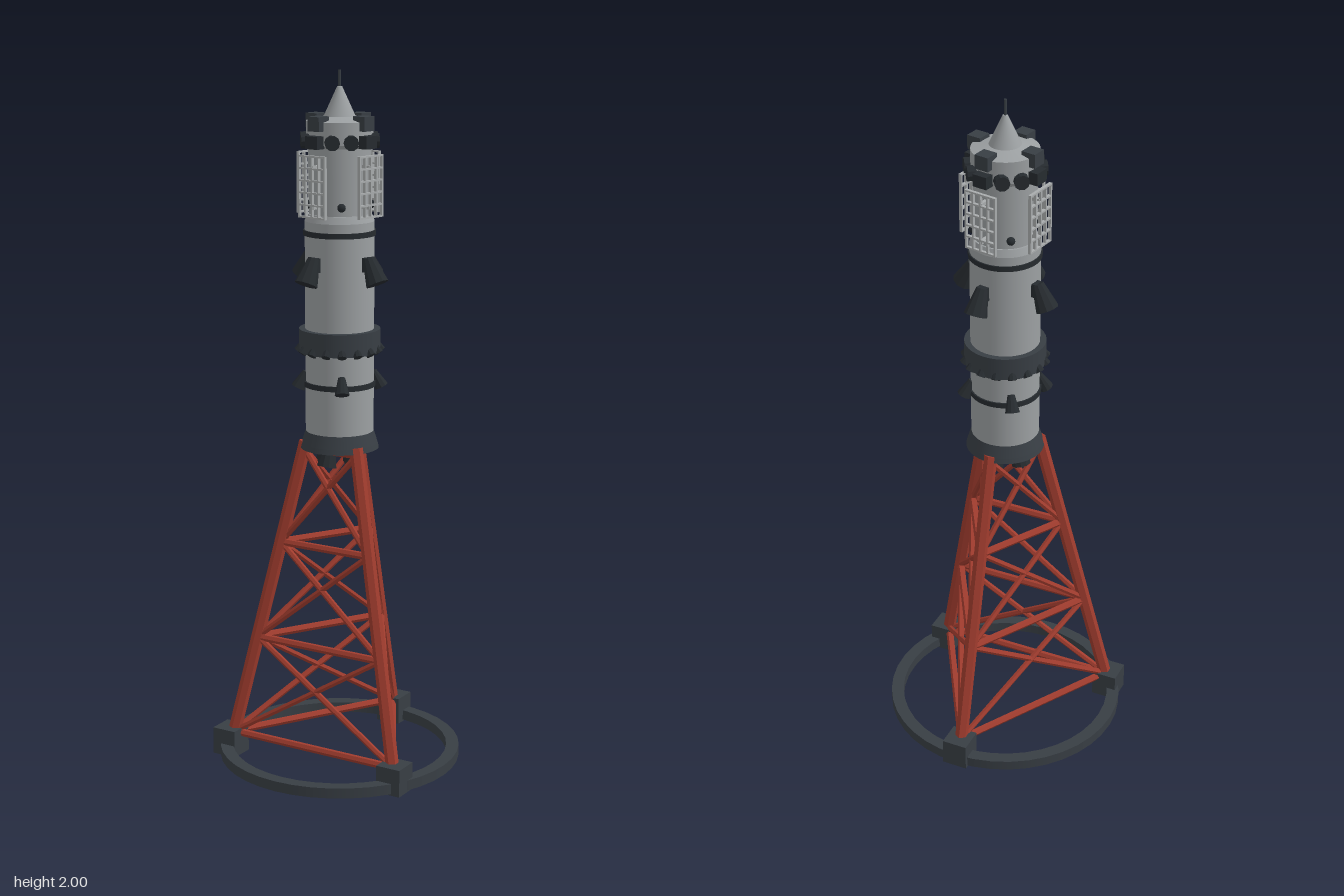
import * as THREE from 'three';

const mat = (name, color, extra = {}) => Object.assign(new THREE.MeshStandardMaterial({ color, ...extra }), { name });

export function createModel() {
  const red = mat('oxide red', 0xa03c2e);
  const slate = mat('slate', 0x383e44);
  const black = mat('charcoal', 0x262b2f);
  const grey = mat('hull grey', 0x9ca0a2);
  const pale = mat('grid grey', 0xa9acad);
  // faceted parts get flat normals in their geometry
  const flat = (g) => { const n = g.toNonIndexed(); n.computeVertexNormals(); return n; };

  const model = new THREE.Group();
  model.name = 'towerBeacon';
  const V = (x, y, z) => new THREE.Vector3(x, y, z);

  const add = (name, geo, material, parent = model, x = 0, y = 0, z = 0) => {
    const m = new THREE.Mesh(geo, material);
    m.name = name;
    m.position.set(x, y, z);
    parent.add(m);
    return m;
  };
  const group = (name, parent = model) => {
    const g = new THREE.Group();
    g.name = name;
    parent.add(g);
    return g;
  };
  // straight tube from a (radius ra) to b (radius rb)
  const beam = (name, a, b, ra, rb, sides, material, parent) => {
    const d = b.clone().sub(a);
    const m = add(name, flat(new THREE.CylinderGeometry(rb, ra, d.length(), sides)), material, parent);
    m.position.copy(a).add(b).multiplyScalar(0.5);
    m.quaternion.setFromUnitVectors(V(0, 1, 0), d.normalize());
    return m;
  };
  // groups spread around the axis, each with local +x pointing outward
  const around = (name, n, start, build) => {
    for (let i = 0; i < n; i++) {
      const g = group(name);
      g.rotation.y = -(start + (i / n) * Math.PI * 2);
      build(g);
    }
  };
  const lathe = (name, pts, material) => {
    // separate bands keep the edges sharp
    const g = group(name);
    for (let i = 1; i < pts.length; i++) {
      const seg = [pts[i - 1], pts[i]].map(([r, y]) => new THREE.Vector2(r, y));
      add(name + 'Band', new THREE.LatheGeometry(seg, 40), material, g);
    }
  };

  // base ring and footings
  lathe('baseRing', [[0.315, 0.005], [0.352, 0.005], [0.352, 0.035], [0.315, 0.035], [0.315, 0.005]], slate);
  const corners = [Math.PI / 6, Math.PI * 5 / 6, -Math.PI / 2];
  for (const a of corners)
    add('footing', new THREE.BoxGeometry(0.075, 0.08, 0.075), slate, model, 0.322 * Math.cos(a), 0.04, 0.322 * Math.sin(a));

  // three-legged lattice tower
  const tower = group('latticeTower');
  const legAt = (a, y) => {
    const r = 0.315 - (y - 0.05) / 0.9 * 0.218;
    return V(r * Math.cos(a), y, r * Math.sin(a));
  };
  const levels = [0.065, 0.36, 0.65, 0.93];
  corners.forEach((a, i) => {
    const b = corners[(i + 1) % 3];
    beam('leg', legAt(a, 0.05), legAt(a, 0.95), 0.019, 0.019, 6, red, tower);
    levels.forEach((y, k) => {
      beam('crossRail', legAt(a, y), legAt(b, y), 0.011, 0.011, 6, red, tower);
      if (k === 3) return;
      beam('brace', legAt(a, y), legAt(b, levels[k + 1]), 0.009, 0.009, 6, red, tower);
      beam('brace', legAt(b, y), legAt(a, levels[k + 1]), 0.009, 0.009, 6, red, tower);
    });
  });

  // lower skirt and nozzles under it
  lathe('skirt', [[0, 0.935], [0.112, 0.935], [0.108, 0.95], [0.097, 0.985], [0, 0.985]], slate);
  const turn = 0.18;
  around('lowerNozzle', 4, turn, (g) =>
    beam('lowerNozzleBell', V(0.04, 0.95, 0), V(0.056, 0.885, 0), 0.016, 0.028, 10, black, g));

  // main hull
  lathe('hull', [[0, 0.98], [0.097, 0.98], [0.098, 1.585], [0.09, 1.605], [0, 1.605]], grey);
  const band = (name, y0, y1, r, m) => lathe(name, [[0.09, y0], [r, y0], [r, y1], [0.09, y1]], m);
  band('lowerBand', 1.115, 1.13, 0.102, black);
  band('collar', 1.215, 1.28, 0.115, slate);
  band('upperBand', 1.545, 1.56, 0.102, black);
  around('collarStud', 16, turn, (g) =>
    beam('collarStudCap', V(0.1, 1.24, 0), V(0.118, 1.215, 0), 0.009, 0.013, 8, black, g));

  // large and small side thrusters
  around('sideThruster', 4, turn, (g) => {
    beam('thrusterBell', V(0.107, 1.488, 0), V(0.14, 1.42, 0), 0.017, 0.033, 10, black, g);
    add('thrusterMount', new THREE.BoxGeometry(0.03, 0.04, 0.03), black, g, 0.1, 1.47, 0);
  });
  around('smallThruster', 4, turn + Math.PI / 4, (g) =>
    beam('smallThrusterBell', V(0.095, 1.155, 0), V(0.118, 1.11, 0), 0.01, 0.021, 10, black, g));

  // upper core with nose cone and antenna
  lathe('upperCore', [[0.085, 1.6], [0.088, 1.79], [0.093, 1.8], [0.093, 1.862], [0.044, 1.874]], grey);
  lathe('noseCone', [[0.044, 1.874], [0.007, 1.955], [0, 1.957]], grey);
  add('antenna', new THREE.CylinderGeometry(0.004, 0.004, 0.06, 8), slate, model, 0, 1.97, 0);

  // lattice panels around the upper core
  around('gridPanel', 4, turn, (g) => {
    for (let i = 0; i < 5; i++)
      add('gridUpright', new THREE.BoxGeometry(0.009, 0.172, 0.005), pale, g, 0.113, 1.687, -0.047 + i * 0.0235);
    for (let j = 0; j < 6; j++)
      add('gridRung', new THREE.BoxGeometry(0.009, 0.005, 0.099), pale, g, 0.113, 1.603 + j * 0.0335, 0);
    for (const y of [1.63, 1.74])
      add('gridStrut', new THREE.BoxGeometry(0.035, 0.01, 0.01), pale, g, 0.097, y, 0);
    add('gridHinge', new THREE.BoxGeometry(0.03, 0.035, 0.044), black, g, 0.103, 1.808, 0);
    add('crownBlock', new THREE.BoxGeometry(0.042, 0.04, 0.042), slate, g, 0.088, 1.858, 0);
  });

  // round pods between the panels
  around('corePod', 4, turn + Math.PI / 4, (g) => {
    for (const z of [-0.026, 0.026])
      beam('corePodDrum', V(0.08, 1.808, z), V(0.108, 1.808, z), 0.021, 0.021, 10, black, g);
    add('coreStud', new THREE.SphereGeometry(0.012, 10, 8), black, g, 0.088, 1.63, 0);
  });

  return model;
}
